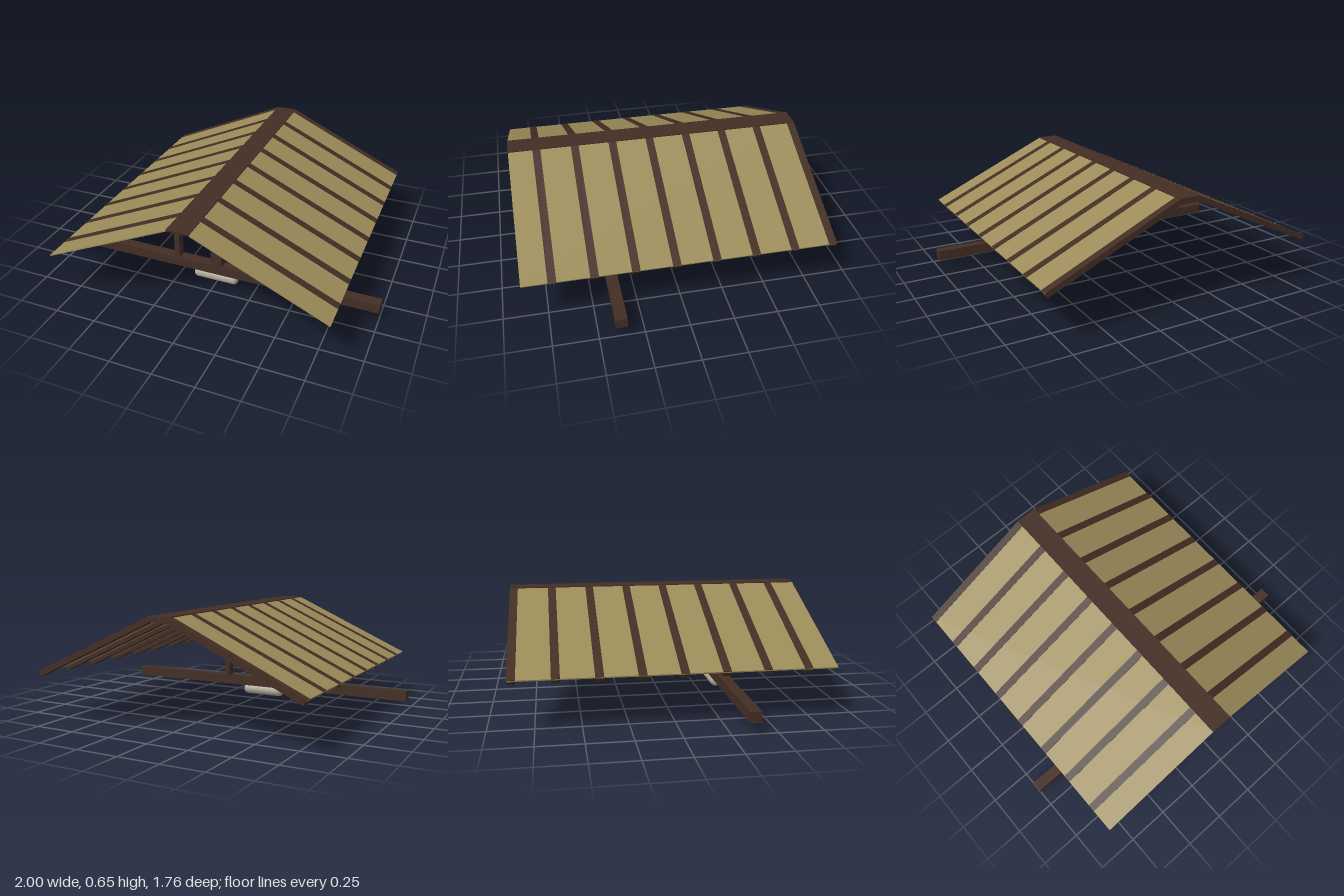
import * as THREE from 'three';

const wood = new THREE.MeshStandardMaterial({ color: 0x432e24 });
const thatch = new THREE.MeshStandardMaterial({ color: 0x9c8c5a });
const stone = new THREE.MeshStandardMaterial({ color: 0xb4ad9e });

const BEAM_Z = 0.377;

export function createModel() {
  const model = new THREE.Group();

  const add = (name, geometry, material) => {
    const mesh = new THREE.Mesh(geometry, material);
    mesh.name = name;
    model.add(mesh);
    return mesh;
  };

  const box = (name, w, h, d, x, y, z) =>
    add(name, new THREE.BoxGeometry(w, h, d), wood).position.set(x, y, z);

  // Extrudes an outline in the xy plane between two depths
  const slab = (name, points, z0, z1, material) => {
    const shape = new THREE.Shape(points.map(([x, y]) => new THREE.Vector2(x, y)));
    const geometry = new THREE.ExtrudeGeometry(shape, { depth: z1 - z0, bevelEnabled: false });
    return add(name, geometry.translate(0, 0, z0), material);
  };

  // Bent rafters, evenly spaced from the back edge
  const rightHalf = [[0.062, 0.648], [0.835, 0.294], [0.822, 0.265], [0.055, 0.616]];
  const [a, b, c, d] = rightHalf;
  const mirror = ([x, y]) => [-x, y];
  const rafter = [a, mirror(a), mirror(b), mirror(c), mirror(d), d, c, b];
  for (let i = 0; i < 8; i++) {
    const z = -0.86 + i * 0.225;
    slab('rafter', rafter, z - 0.023, z + 0.023, wood);
  }

  // Thin roof panels just under the rafter tops
  for (const s of [1, -1]) {
    const panel = [[0.062, 0.646], [0.834, 0.292], [0.832, 0.285], [0.06, 0.639]];
    slab(s > 0 ? 'leftRoofPanel' : 'rightRoofPanel',
      panel.map(([x, y]) => [x * s, y]), -0.88, 0.88, thatch);
  }

  // Flat ridge cap along the top
  box('ridgeCap', 0.132, 0.01, 1.763, 0, 0.644, 0);

  // Cross beam and the posts that hold the roof
  box('crossBeam', 2, 0.06, 0.064, 0, 0.09, BEAM_Z);
  box('centrePost', 0.07, 0.52, 0.064, 0, 0.37, BEAM_Z);
  for (const s of [1, -1]) {
    const post = [[0.245, 0.115], [0.279, 0.115], [0.279, 0.53], [0.245, 0.545]];
    slab('sidePost', post.map(([x, y]) => [x * s, y]), BEAM_Z - 0.026, BEAM_Z + 0.026, wood);
  }

  // Rounded bar set under the beam
  const r = 0.0375, half = 0.14, bevel = 0.022;
  const profile = [new THREE.Vector2(0, -half)];
  for (const end of [-1, 1]) {
    for (let i = 0; i <= 5; i++) {
      const t = ((end < 0 ? i : 5 - i) / 5) * Math.PI / 2;
      profile.push(new THREE.Vector2(
        r - bevel + bevel * Math.sin(t),
        end * (half - bevel + bevel * Math.cos(t))));
    }
  }
  profile.push(new THREE.Vector2(0, half));
  const bar = new THREE.LatheGeometry(profile, 24).rotateZ(Math.PI / 2);
  add('roundedBar', bar, stone).position.set(-0.01, r, BEAM_Z);

  return model;
}
